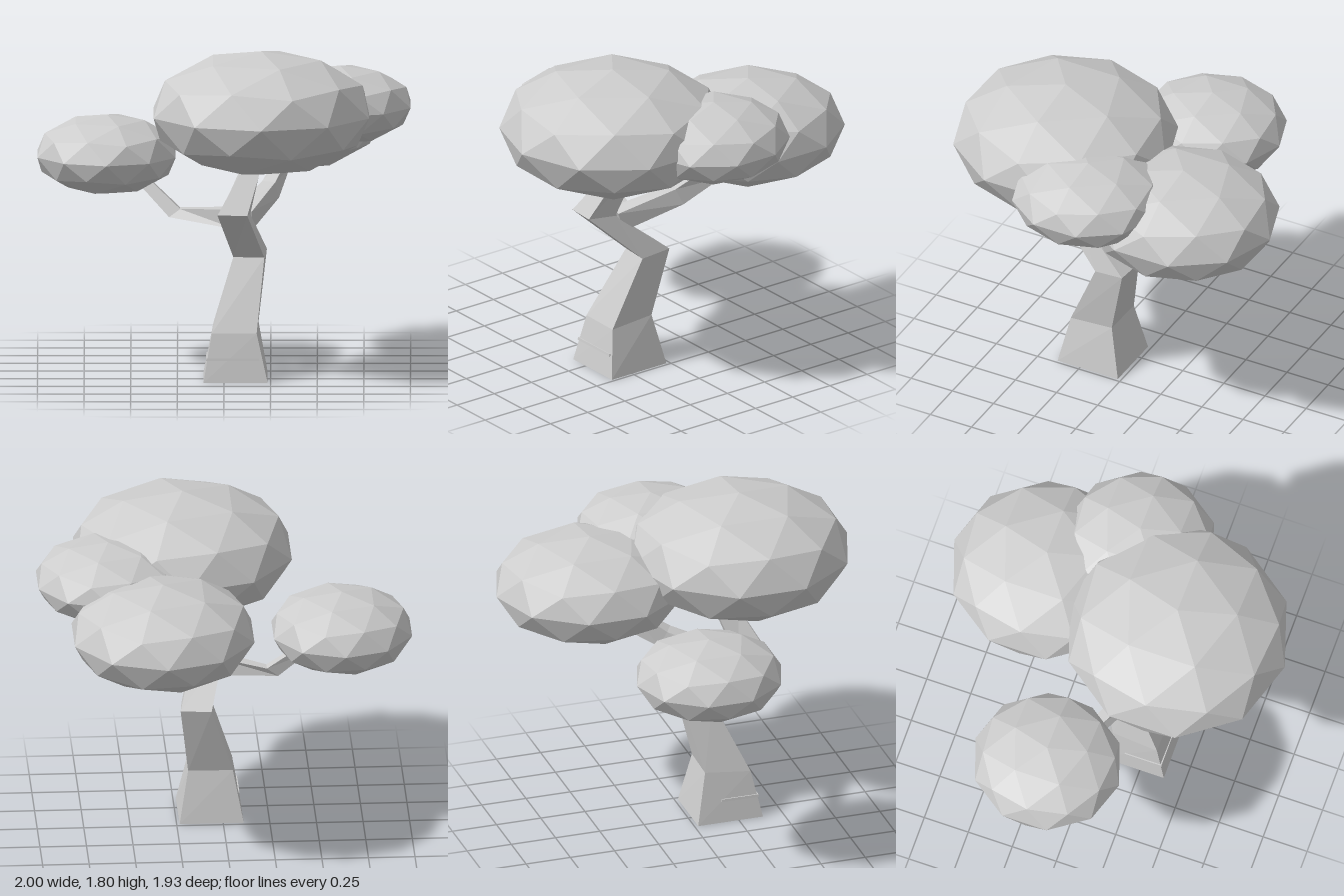
import * as THREE from 'three';

const paleGrey = new THREE.MeshStandardMaterial({ color: 0xcccccc });
paleGrey.name = 'paleGrey';

// Four-sided limb through stations [centre, u, v]; corners are centre +-u +-v, and v x u points along the limb
function limb(name, stations) {
  const rings = stations.map(([c, u, v]) =>
    [[-1, 1], [1, 1], [1, -1], [-1, -1]].map(([a, b]) => c.map((n, i) => n + a * u[i] + b * v[i])));
  const pos = [];
  const quad = (a, b, c, d) => pos.push(...a, ...b, ...c, ...a, ...c, ...d);
  for (let i = 0; i < rings.length - 1; i++) {
    for (let k = 0; k < 4; k++) {
      const n = (k + 1) % 4;
      quad(rings[i][k], rings[i][n], rings[i + 1][n], rings[i + 1][k]);
    }
  }
  const [a, b, c, d] = rings[0];
  quad(d, c, b, a);
  quad(...rings[rings.length - 1]);
  const geo = new THREE.BufferGeometry();
  geo.setAttribute('position', new THREE.Float32BufferAttribute(pos, 3));
  geo.computeVertexNormals();
  const mesh = new THREE.Mesh(geo, paleGrey);
  mesh.name = name;
  return mesh;
}

// Faceted leaf cluster: icosphere with a vertex at the top, squashed to an ellipsoid
function leafCluster(name, centre, radii) {
  const geo = new THREE.IcosahedronGeometry(1, 1);
  geo.rotateZ(-Math.atan(2 / (1 + Math.sqrt(5))));
  geo.scale(...radii);
  geo.computeVertexNormals();
  const mesh = new THREE.Mesh(geo, paleGrey);
  mesh.position.set(...centre);
  mesh.name = name;
  return mesh;
}

export function createModel() {
  const tree = new THREE.Group();
  tree.name = 'tree';

  // Crooked trunk, flaring at the foot and ending inside the largest cluster
  tree.add(limb('trunk', [
    [[0.062, 0, 0.203], [0.172, 0, 0], [0, 0, 0.183]],
    [[0.06, 0.272, 0.207], [0.12, 0, 0.003], [-0.005, -0.012, 0.127]],
    [[0.14, 0.655, 0.075], [0.083, 0, 0.007], [-0.007, -0.01, 0.085]],
    [[0.053, 0.912, 0.37], [0.08, 0, 0.005], [-0.008, 0.008, 0.083]],
    [[0.155, 1.17, 0.255], [0.048, 0, 0.003], [-0.003, -0.01, 0.065]],
  ]));

  // Thin ridge around the front of the foot
  tree.add(limb('footRidge', [
    [[0.047, 0.115, 0.262], [0.143, 0, 0], [0, 0, 0.106]],
    [[0.047, 0.129, 0.262], [0.141, 0, 0], [0, 0, 0.104]],
  ]));

  // Side branch bending up into the small cluster
  tree.add(limb('rightBranch', [
    [[0.07, 0.865, 0.2], [0, 0.055, 0], [0, 0, 0.05]],
    [[-0.265, 0.872, 0.05], [0.03, 0.022, 0], [0, 0, 0.03]],
    [[-0.43, 1.03, -0.03], [0.028, 0.012, 0], [0, 0, 0.025]],
  ]));

  // Rear branch
  tree.add(limb('backBranch', [
    [[0.1, 0.86, 0.24], [0.05, 0, 0.02], [0, 0.055, 0.02]],
    [[0.25, 0.98, -0.05], [0.035, 0, 0.02], [-0.01, 0.045, 0.02]],
    [[0.32, 1.1, -0.25], [0.03, 0, 0.01], [0, 0.045, 0.03]],
  ]));

  // Leaf clusters
  tree.add(
    leafCluster('frontLeaves', [0.2, 1.463, 0.355], [0.607, 0.335, 0.61]),
    leafCluster('backLeaves', [0.35, 1.31, -0.44], [0.507, 0.28, 0.527]),
    leafCluster('leftLeaves', [0.62, 1.45, -0.005], [0.4, 0.21, 0.415]),
    leafCluster('rightLeaves', [-0.63, 1.165, -0.093], [0.39, 0.215, 0.408]),
  );
  return tree;
}
